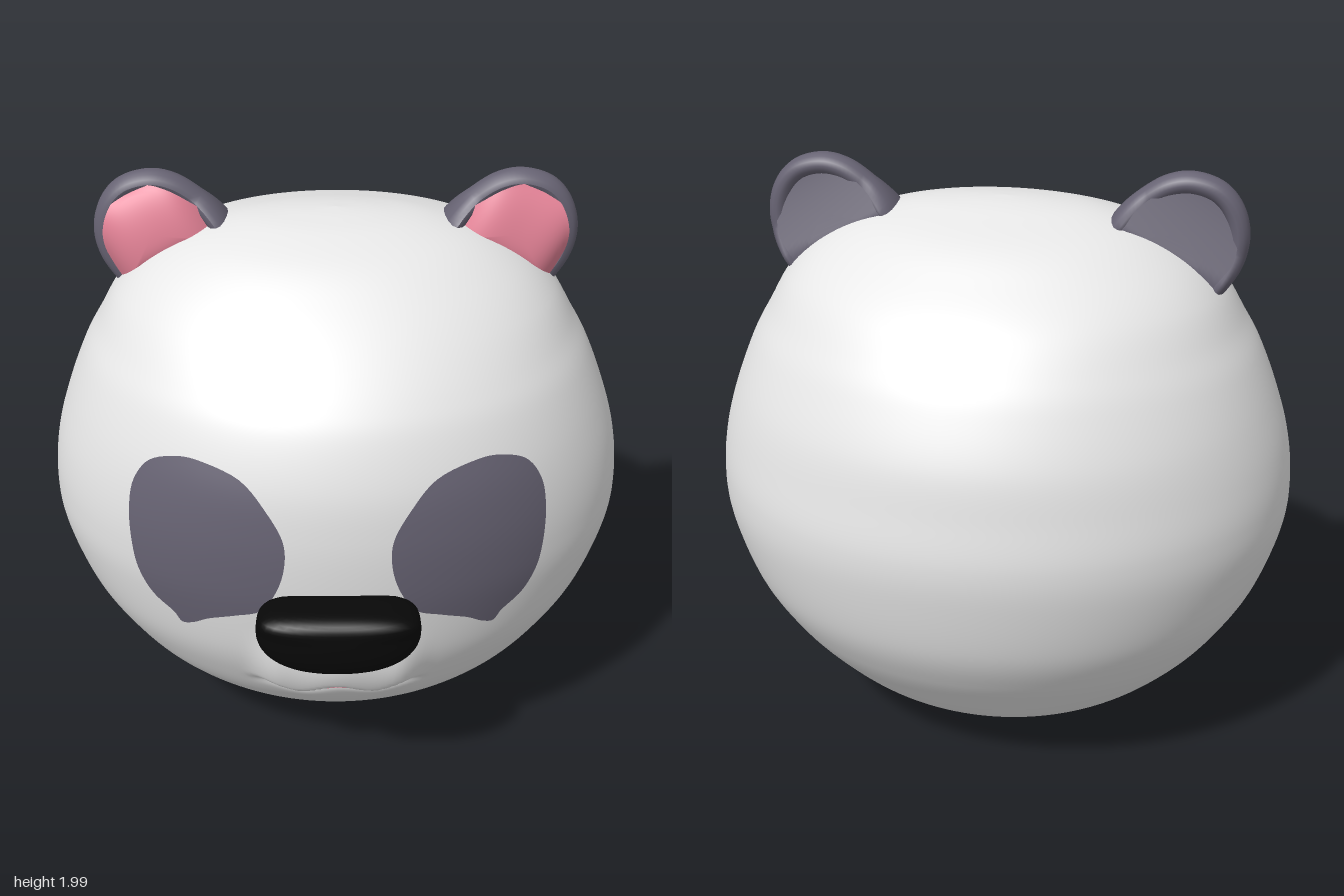
import * as THREE from 'three';

const paint = (name, color, side = THREE.FrontSide) => {
  const m = new THREE.MeshStandardMaterial({ color, side });
  m.name = name;
  return m;
};
const smooth = THREE.MathUtils.smoothstep;

// Head profile, bottom to top: height, half width, front z, back z
const ZC = -0.05;
const PROFILE = [
  [0.01, 0, -0.05, -0.05], [0.02, 0.12, 0.05, -0.17], [0.05, 0.25, 0.17, -0.31],
  [0.11, 0.43, 0.29, -0.43], [0.2, 0.585, 0.43, -0.56], [0.32, 0.72, 0.55, -0.67],
  [0.45, 0.82, 0.635, -0.77], [0.6, 0.905, 0.7, -0.85], [0.8, 0.97, 0.74, -0.9],
  [0.95, 0.98, 0.755, -0.915], [1.1, 0.96, 0.755, -0.895], [1.25, 0.915, 0.735, -0.865],
  [1.4, 0.855, 0.68, -0.8], [1.5, 0.8, 0.615, -0.74], [1.62, 0.73, 0.5, -0.64],
  [1.72, 0.63, 0.38, -0.51], [1.8, 0.49, 0.26, -0.38], [1.85, 0.32, 0.13, -0.22],
  [1.87, 0.16, 0.03, -0.13], [1.878, 0, -0.05, -0.05],
];
const spline = (pts, closed = false, type = 'centripetal') =>
  new THREE.CatmullRomCurve3(pts.map(([x, y, z = 0]) => new THREE.Vector3(x, y, z)), closed, type);

function sampleRings() {
  const n = (PROFILE.length - 1) * 12;
  const front = spline(PROFILE.map(([y, w, f]) => [w, y, f]), false, 'catmullrom').getPoints(n);
  const back = spline(PROFILE.map(([y, , , b]) => [b, y]), false, 'catmullrom').getPoints(n);
  return front.map((p, i) => ({ y: p.y, w: Math.max(p.x, 0), f: p.z, b: back[i].x }));
}

// Soft muzzle that overhangs a double-curved lip line
function muzzle(x, y) {
  const a = Math.abs(x);
  const t = y - (0.42 + 0.02 * Math.cos((2 * Math.PI * a) / 0.25));
  const across = 1 - smooth(a, 0.19, 0.32);
  const bulge = 0.04 * smooth(t, 0, 0.045) * (1 - smooth(t, 0.05, 0.3));
  return across * (bulge - 0.015 * Math.exp(-((t / 0.025) ** 2)));
}

// Head skin lofted through the rings, with finer spacing on the face
function headGeometry(rings) {
  const seg = 160, pos = [], index = [];
  rings.forEach(({ y, w, f, b }) => {
    for (let j = 0; j < seg; j++) {
      const t = (j / seg) * Math.PI * 2, a = t - 0.4 * Math.sin(t), c = Math.cos(a);
      const x = w * Math.sin(a);
      pos.push(x, y, ZC + c * (c > 0 ? f - ZC : ZC - b) + (c > 0 ? muzzle(x, y) : 0));
    }
  });
  for (let i = 0; i < rings.length - 1; i++) {
    for (let j = 0; j < seg; j++) {
      const k = (j + 1) % seg, r = i * seg, s = r + seg;
      index.push(r + j, r + k, s + j, r + k, s + k, s + j);
    }
  }
  return build(pos, index);
}

function build(pos, index) {
  const g = new THREE.BufferGeometry();
  g.setAttribute('position', new THREE.Float32BufferAttribute(pos, 3));
  g.setIndex(index);
  g.computeVertexNormals();
  return g;
}

// Thin patch: concentric rings inside an outline, each point set to depth(x, y)
function patch(outline, [cx, cy], depth, rings = 12) {
  const n = outline.length, pos = [cx, cy, depth(cx, cy)], index = [];
  for (let r = 1; r <= rings; r++) {
    outline.forEach((p) => {
      const x = cx + ((p.x - cx) * r) / rings, y = cy + ((p.y - cy) * r) / rings;
      pos.push(x, y, depth(x, y));
    });
  }
  for (let j = 0; j < n; j++) {
    const k = (j + 1) % n;
    index.push(0, 1 + j, 1 + k);
    for (let r = 0; r < rings - 1; r++) {
      const a = 1 + r * n, b = a + n;
      index.push(a + j, b + j, b + k, a + j, b + k, a + k);
    }
  }
  return build(pos, index);
}

// Mirror across x, keeping faces turned outward
function mirrored(geometry) {
  const g = geometry.clone().scale(-1, 1, 1), ix = g.index;
  for (let i = 0; i < ix.count; i += 3) {
    const t = ix.getX(i);
    ix.setX(i, ix.getX(i + 1));
    ix.setX(i + 1, t);
  }
  return g;
}

// Ear in its own frame: base along x, tip along +y
function earGeometries() {
  const path = spline([[-0.2, -0.06], [-0.185, 0.03], [-0.16, 0.1], [-0.12, 0.17], [-0.065, 0.215],
    [0.02, 0.233], [0.09, 0.208], [0.15, 0.145], [0.178, 0.06], [0.17, -0.06]]);
  const rim = new THREE.TubeGeometry(path, 56, 0.036, 14);
  const p = rim.attributes.position;
  for (let i = 0; i < p.count; i++) {
    const flare = THREE.MathUtils.clamp(1 - p.getY(i) / 0.1, 0, 1);
    const z = p.getZ(i) * 1.35;
    p.setZ(i, -0.08 + z * (z < 0 || p.getX(i) < 0 ? 1 + flare : 1));
  }
  rim.computeVertexNormals();
  const edge = path.getPoints(60);
  const rise = (v) => THREE.MathUtils.clamp(v / 0.235, 0, 1);
  const sides = (u) => Math.max(0, 1 - (Math.abs(u) / 0.2) ** 4);
  const inner = patch(edge, [0, 0.08], (u, v) => -0.07 + 0.1 * Math.sqrt(1 - rise(v) ** 2) * sides(u));
  const back = patch(edge, [0, 0.08], (u, v) => -0.1 - 0.07 * (1 - rise(v)) ** 1.3);
  const place = (g) => g.rotateZ(-0.485).translate(0.56, 1.74, 0);
  return { rim: place(rim), inner: place(inner), back: place(back) };
}

// Nose: rounded block, flatter on top and fuller below
function noseGeometry() {
  const g = new THREE.SphereGeometry(1, 48, 32), p = g.attributes.position;
  for (let i = 0; i < p.count; i++) {
    const v = [p.getX(i), p.getY(i), p.getZ(i)];
    const e = 2.3 + 1.4 * smooth(v[1], 0, 0.6);
    const len = v.reduce((s, c) => s + Math.abs(c) ** e, 0) ** (1 / e);
    const [x, y, z] = v.map((c) => c / len);
    p.setXYZ(i, x * 0.26, 0.82 + y * (y > 0 ? 0.085 : 0.155), 0.81 + z * 0.105);
  }
  g.computeVertexNormals();
  return g;
}

export function createModel() {
  const white = paint('white fur', 0xf0f0f0);
  const dark = paint('dark fur', 0x676373, THREE.DoubleSide);
  const pink = paint('pink skin', 0xf08a9f, THREE.DoubleSide);
  const black = paint('black nose', 0x080808);

  const model = new THREE.Group();
  model.name = 'bearHead';
  const add = (name, geometry, material, parent = model) => {
    const mesh = new THREE.Mesh(geometry, material);
    mesh.name = name;
    parent.add(mesh);
  };

  // Head and a lookup for the depth of its face
  const rings = sampleRings();
  add('head', headGeometry(rings), white);
  const faceZ = (x, y) => {
    const i = Math.max(1, rings.findIndex((r) => r.y >= y)), a = rings[i - 1], b = rings[i];
    const t = (y - a.y) / (b.y - a.y);
    const w = a.w + (b.w - a.w) * t, f = a.f + (b.f - a.f) * t;
    return ZC + (f - ZC) * Math.sqrt(Math.max(0, 1 - (x / w) ** 2)) + muzzle(x, y);
  };

  // Eye patches
  const eye = spline([[0.43, 1.325], [0.3, 1.29], [0.22, 1.2], [0.17, 1.1], [0.17, 1], [0.2, 0.9],
    [0.25, 0.82], [0.33, 0.785], [0.42, 0.745], [0.475, 0.705], [0.51, 0.693], [0.535, 0.73], [0.6, 0.785],
    [0.645, 0.87], [0.662, 0.96], [0.665, 1.1], [0.645, 1.2], [0.59, 1.28], [0.5, 1.32]], true);
  const eyeGeo = patch(eye.getPoints(96).slice(0, -1), [0.42, 1.02], (x, y) => faceZ(x, y) + 0.006);
  add('leftEyePatch', eyeGeo, dark);
  add('rightEyePatch', mirrored(eyeGeo), dark);

  // Nose and mouth
  add('nose', noseGeometry(), black);
  const lip = [[-0.13, 0.4], [-0.06, 0.418], [0, 0.437], [0.06, 0.418], [0.13, 0.4],
    [0.06, 0.404], [0, 0.418], [-0.06, 0.404]].map(([x, y]) => new THREE.Vector2(x, y));
  add('mouth', patch(lip.reverse(), [0, 0.42], (x, y) => faceZ(x, y) + 0.005, 6), pink);

  // Ears
  const ear = earGeometries();
  for (const [side, turn] of [['left', (g) => g], ['right', mirrored]]) {
    const group = new THREE.Group();
    group.name = side + 'Ear';
    add('earRim', turn(ear.rim), dark, group);
    add('earBack', turn(ear.back), dark, group);
    add('innerEar', turn(ear.inner), pink, group);
    model.add(group);
  }
  return model;
}
